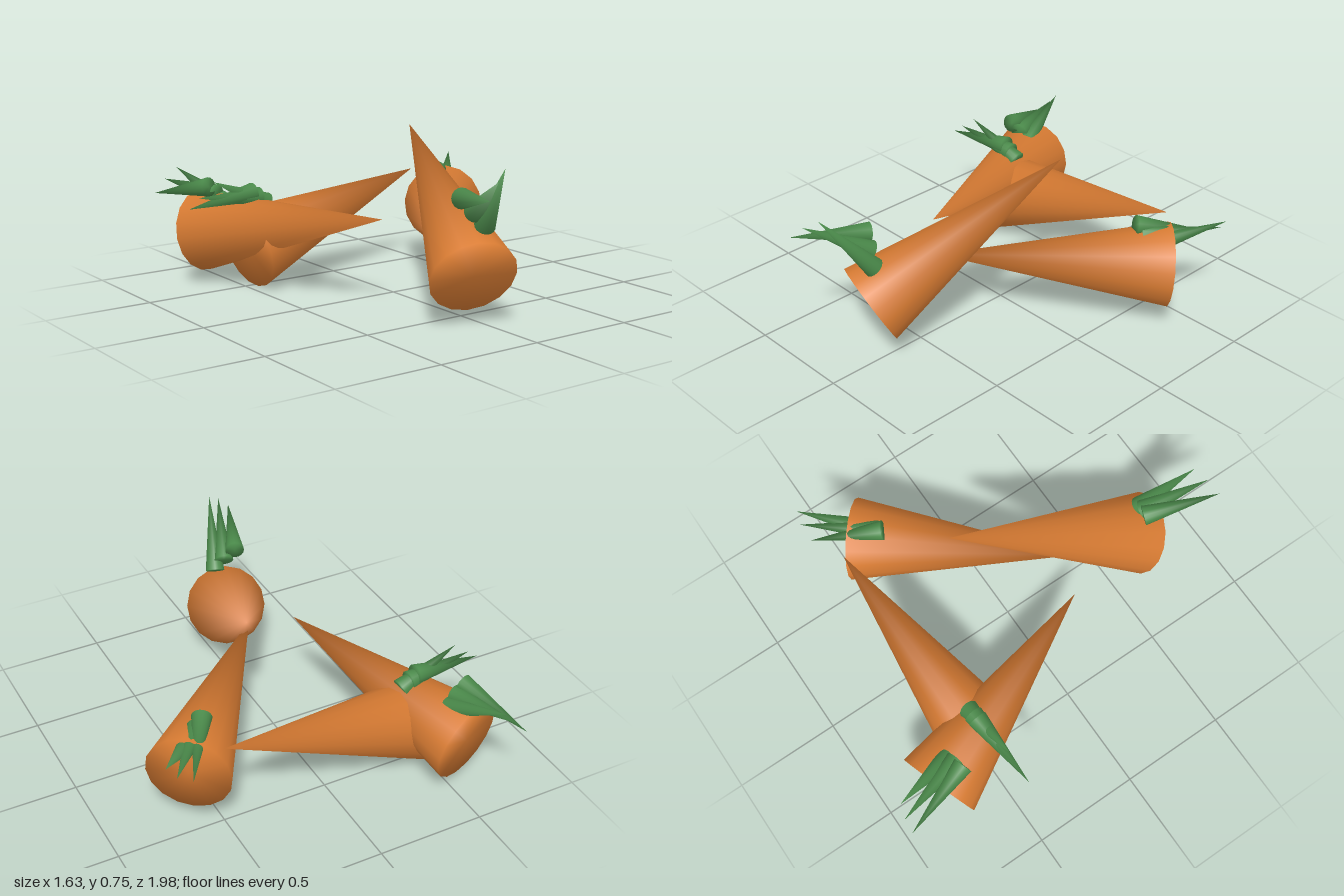
import * as THREE from 'three';
import { mergeVertices } from 'three/addons/utils/BufferGeometryUtils.js';

// Capped cone whose rim is shaded smoothly into its cap; unit height, base at the origin
function softCone(radius) {
  const g = new THREE.ConeGeometry(radius, 1, 16).translate(0, 0.5, 0);
  g.deleteAttribute('normal');
  g.deleteAttribute('uv');
  const merged = mergeVertices(g, 1e-4);
  merged.computeVertexNormals();
  return merged;
}

// Cone running from the centre of its base to its tip
function spike(name, base, tip, radius, material) {
  const from = new THREE.Vector3(...base);
  const dir = new THREE.Vector3(...tip).sub(from);
  const geometry = softCone(radius).scale(1, dir.length(), 1);
  geometry.computeVertexNormals();
  const mesh = new THREE.Mesh(geometry, material);
  mesh.name = name;
  mesh.position.copy(from);
  mesh.quaternion.setFromUnitVectors(new THREE.Vector3(0, 1, 0), dir.normalize());
  return mesh;
}

export function createModel() {
  const orange = new THREE.MeshStandardMaterial({ color: 0xd97c33 });
  orange.name = 'carrotOrange';
  const green = new THREE.MeshStandardMaterial({ color: 0x4b8b4b });
  green.name = 'leafGreen';

  // Each carrot: root base and tip, then three leaves as base and tip
  const carrots = [
    { name: 'frontCarrot', root: [[-0.095, 0.235, 0.7], [0.215, 0.755, -0.165]],
      leaves: [
        [[-0.13, 0.57, 0.66], [-0.255, 0.625, 0.99]],
        [[-0.085, 0.51, 0.69], [-0.19, 0.69, 0.965]],
        [[-0.045, 0.45, 0.71], [-0.125, 0.735, 0.93]],
      ] },
    { name: 'backRightCarrot', root: [[-0.566, 0.24, -0.765], [-0.22, 0.415, 0.22]],
      leaves: [
        [[-0.6, 0.47, -0.65], [-0.71, 0.4, -0.99]],
        [[-0.555, 0.43, -0.66], [-0.655, 0.465, -0.99]],
        [[-0.515, 0.39, -0.68], [-0.6, 0.52, -0.97]],
      ] },
    { name: 'crossingCarrot', root: [[-0.5, 0.193, -0.475], [0.52, 0.455, -0.555]],
      leaves: [
        [[-0.46, 0.455, -0.48], [-0.815, 0.42, -0.45]],
        [[-0.43, 0.43, -0.48], [-0.76, 0.465, -0.455]],
        [[-0.39, 0.4, -0.48], [-0.68, 0.53, -0.46]],
      ] },
    { name: 'backLeftCarrot', root: [[0.635, 0.278, -0.44], [-0.05, 0.36, 0.35]],
      leaves: [
        [[0.52, 0.475, -0.34], [0.695, 0.4, -0.63]],
        [[0.55, 0.43, -0.35], [0.77, 0.45, -0.635]],
        [[0.59, 0.39, -0.365], [0.812, 0.505, -0.62]],
      ] },
  ];

  const model = new THREE.Group();
  model.name = 'carrotPile';
  for (const { name, root, leaves } of carrots) {
    const carrot = new THREE.Group();
    carrot.name = name;
    carrot.add(spike('root', root[0], root[1], 0.195, orange));
    for (const [base, tip] of leaves) carrot.add(spike('leaf', base, tip, 0.046, green));
    model.add(carrot);
  }
  return model;
}
